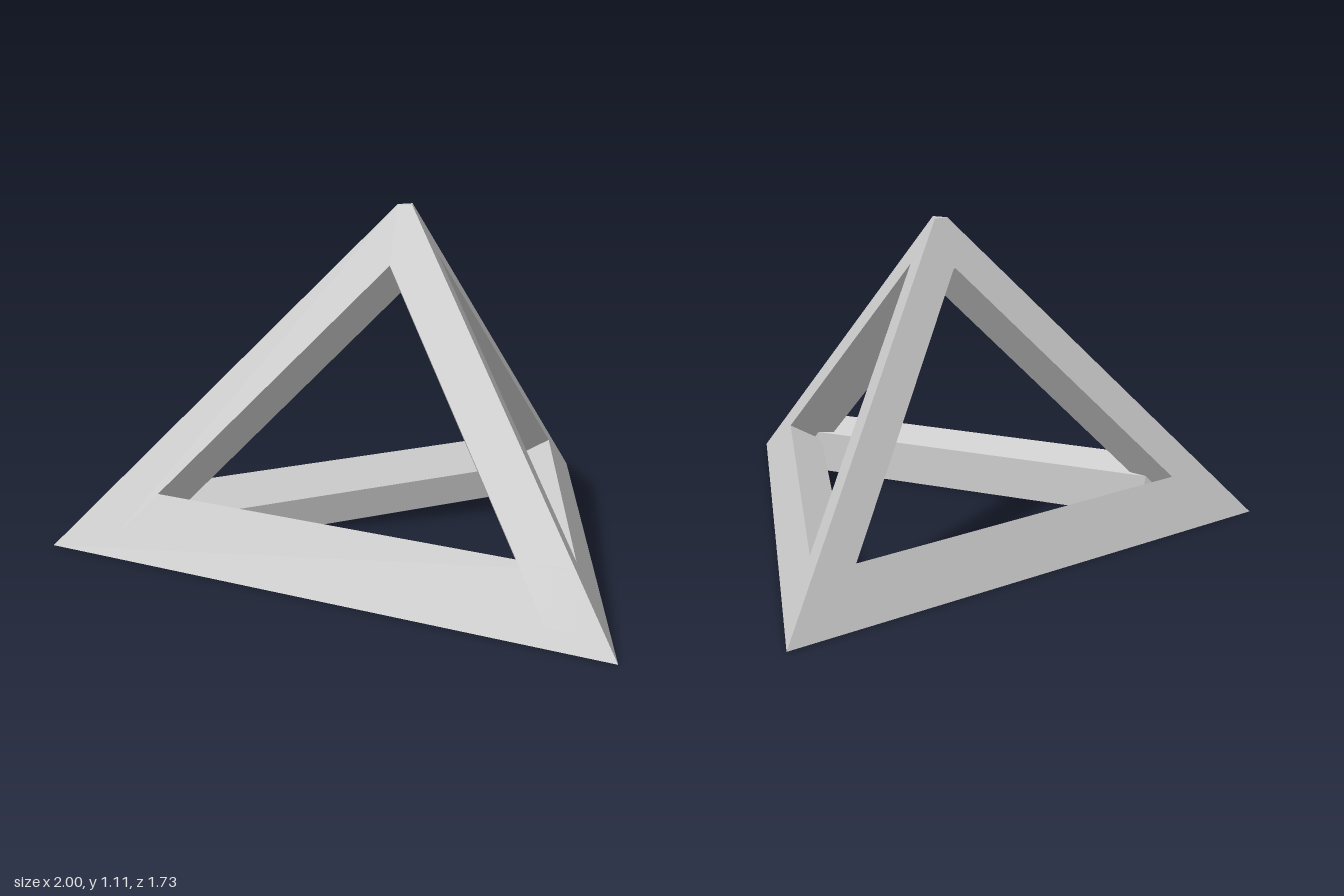
import * as THREE from 'three';
import { ConvexGeometry } from 'three/addons/geometries/ConvexGeometry.js';

const HEIGHT = 1.138;            // height of the untruncated apex
const TOP = 1.108;               // height of the flat cut tip
const ROOT3 = Math.sqrt(3);
const R = 2 / ROOT3;             // centre to base corner
const INR = R / 2;               // centre to base edge
const SLOPE = HEIGHT / R;        // rise of a corner ridge
const TURN = Math.PI * 2 / 3;

const material = new THREE.MeshStandardMaterial({ color: 0xcccccc, flatShading: true });

function hull(name, points, angle) {
  const mesh = new THREE.Mesh(new ConvexGeometry(points), material);
  mesh.name = name;
  mesh.rotation.y = angle;
  return mesh;
}

// Base bar: sloped outside, top cut square to the outer face, mitred ends
function baseBar(name, angle, height, thickness, depth) {
  const outer = height * INR / HEIGHT;
  const profile = [
    [0, 0],
    [outer, height],
    [outer + 0.89 * thickness, height - 0.45 * thickness],
    [depth, 0]
  ];
  const points = [];
  for (const [inset, y] of profile) {
    for (const side of [-1, 1]) {
      points.push(new THREE.Vector3(side * (1 - inset * ROOT3), y, INR - inset));
    }
  }
  return hull(name, points, angle);
}

// Corner bar: kite section rising from a base corner to the tip. The wall on the
// deep side is cut square to its outer face and ends past the middle of the bar.
function cornerBar(name, angle, deepSide, deepWidth, shallowWidth, thickness) {
  const start = 0.05;
  const points = [];
  const add = (s, r, y) => points.push(new THREE.Vector3(s * deepSide, y, -r));
  const radiusAt = (y, depth) => R - depth - y / SLOPE;
  const heightAt = (r, depth) => (R - depth - r) * SLOPE;

  // Ridge and cut tip
  const tip = radiusAt(TOP, 0);
  add(0, radiusAt(start, 0), start);
  add(0, tip, TOP);
  add(0, 0, TOP);
  for (const side of [-1, 1]) add(side * tip * ROOT3 / 4, tip / 4, TOP);

  // Outer edges and inner edge, ending where the neighbouring bars begin
  const innerS = deepWidth - 0.78 * thickness;
  const innerDepth = deepWidth * ROOT3 + 0.91 * thickness;
  const edges = [
    [deepWidth, deepWidth * ROOT3],
    [-shallowWidth, shallowWidth * ROOT3],
    [innerS, innerDepth]
  ];
  for (const [s, depth] of edges) {
    const r = Math.abs(s) / ROOT3;
    add(s, radiusAt(start, depth), start);
    add(s, r, heightAt(r, depth));
  }

  // Point of the deep wall on the centre line
  const middleDepth = deepWidth * ROOT3 + 0.91 / 0.78 * deepWidth;
  add(0, 0, heightAt(0, middleDepth));
  return hull(name, points, angle);
}

export function createModel() {
  const model = new THREE.Group();
  model.name = 'pyramidFrame';

  const frame = new THREE.Group();
  frame.name = 'frame';
  frame.position.z = ROOT3 / 2 - INR;
  model.add(frame);

  frame.add(
    baseBar('frontBaseBar', 0, 0.2, 0.108, 0.205),
    baseBar('leftBaseBar', TURN, 0.175, 0.135, 0.185),
    baseBar('rightBaseBar', -TURN, 0.175, 0.165, 0.236),
    cornerBar('backCornerBar', 0, 1, 0.08, 0.08, 0.135),
    cornerBar('leftCornerBar', -TURN, -1, 0.083, 0.092, 0.155),
    cornerBar('rightCornerBar', TURN, 1, 0.083, 0.092, 0.155)
  );
  return model;
}
